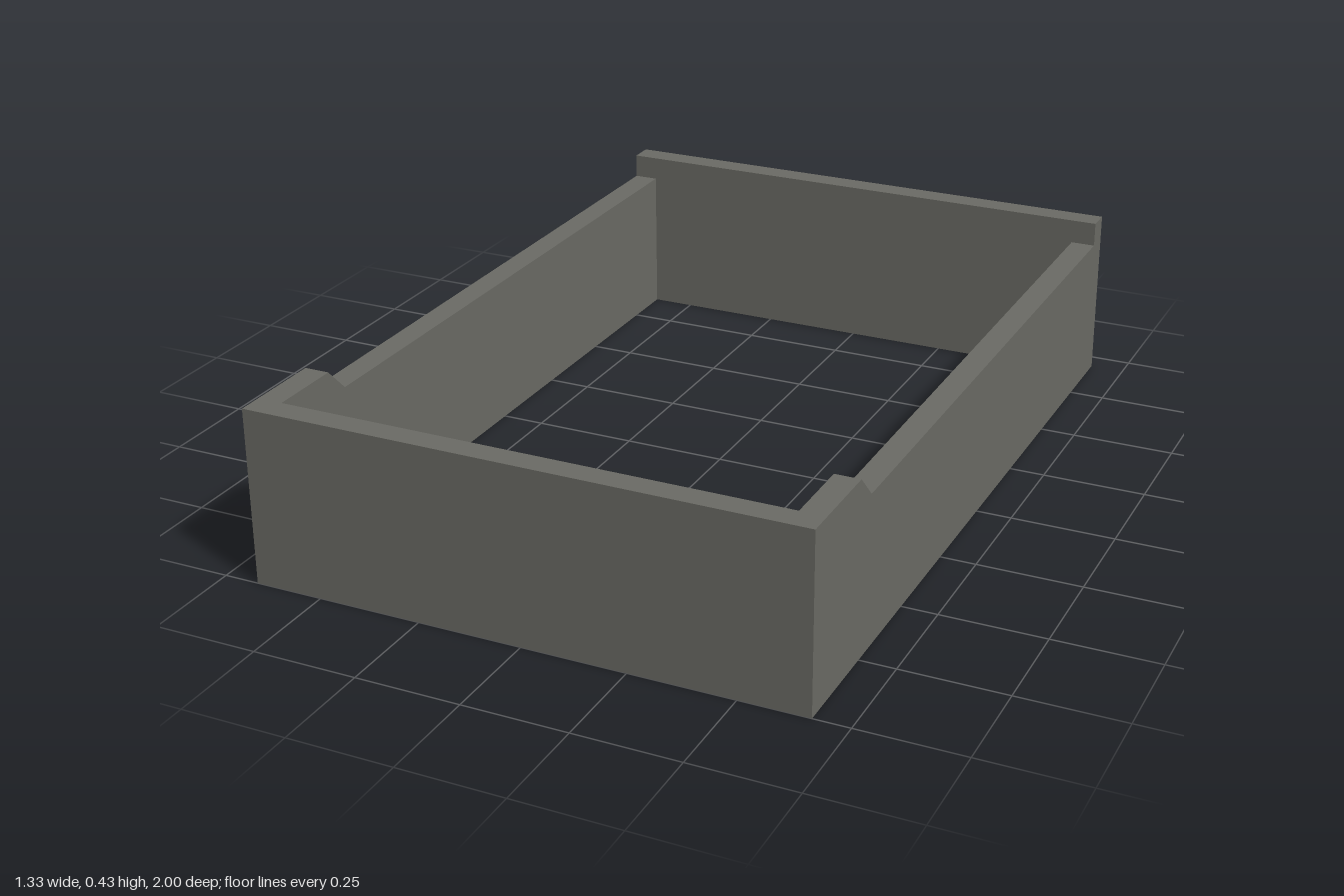
import * as THREE from 'three';

const W = 0.665, IN = 0.605;         // outer and inner half width
const TOP = 0.425, LOW = 0.365;      // rim heights
const BACK = -0.94, BACK_IN = -0.88; // back wall faces
const PULL_Y = 0.185;                // underside of the pull

// Flat-shaded surface from four-cornered faces, counter-clockwise from outside
function quads(faces) {
  const pos = faces.flatMap(([a, b, c, d]) => [a, b, c, a, c, d].flat());
  const geo = new THREE.BufferGeometry();
  geo.setAttribute('position', new THREE.Float32BufferAttribute(pos, 3));
  geo.computeVertexNormals();
  return geo;
}

const polygon = (pts) => new THREE.Shape(pts.map(([x, y]) => new THREE.Vector2(x, y)));

export function createModel() {
  const model = new THREE.Group();
  const grey = new THREE.MeshStandardMaterial({ color: 0x6b6b65, side: THREE.DoubleSide });
  grey.name = 'warm grey';

  const add = (name, geo, x = 0, y = 0, z = 0) => {
    const mesh = new THREE.Mesh(geo, grey);
    mesh.name = name;
    mesh.position.set(x, y, z);
    model.add(mesh);
  };

  // Front wall
  add('frontWall', new THREE.BoxGeometry(2 * W, TOP, 0.06), 0, TOP / 2, 0.97);

  // Side walls: low rim that steps up with a slope near the front
  const side = polygon([[-0.94, 0], [-BACK_IN, 0], [-BACK_IN, LOW], [-0.70, LOW], [-0.76, TOP], [-0.94, TOP]]
    .map(([a, y], i) => [i === 1 || i === 2 ? -BACK_IN : a, y]));
  for (const [name, x] of [['leftWall', IN], ['rightWall', -W]]) {
    const geo = new THREE.ExtrudeGeometry(side, { depth: W - IN, bevelEnabled: false });
    add(name, geo.rotateY(Math.PI / 2), x);
  }

  // Back wall with a finger recess behind the pull
  const wall = polygon([[-W, 0], [W, 0], [W, TOP], [-W, TOP]]);
  wall.holes.push(polygon([[-IN, PULL_Y], [-IN, LOW], [IN, LOW], [IN, PULL_Y]]));
  add('backWall', new THREE.ExtrudeGeometry(wall, { depth: BACK_IN - BACK, bevelEnabled: false }), 0, 0, BACK);
  add('recessPanel', new THREE.PlaneGeometry(2 * IN, LOW - PULL_Y), 0, (LOW + PULL_Y) / 2, BACK_IN);

  // Pull: thin hood with sloped top and ends, open underneath
  const o = 0.58, oy = 0.335, oz = -1;
  const pt = (s, outer, top) => outer
    ? [s * o, top ? oy : PULL_Y, oz]
    : [s * IN, top ? LOW : PULL_Y, BACK];
  add('pull', quads([
    [pt(1, 1, 0), pt(-1, 1, 0), pt(-1, 1, 1), pt(1, 1, 1)],
    [pt(1, 1, 1), pt(-1, 1, 1), pt(-1, 0, 1), pt(1, 0, 1)],
    [pt(1, 0, 0), pt(1, 1, 0), pt(1, 1, 1), pt(1, 0, 1)],
    [pt(-1, 1, 0), pt(-1, 0, 0), pt(-1, 0, 1), pt(-1, 1, 1)],
  ]));

  return model;
}
